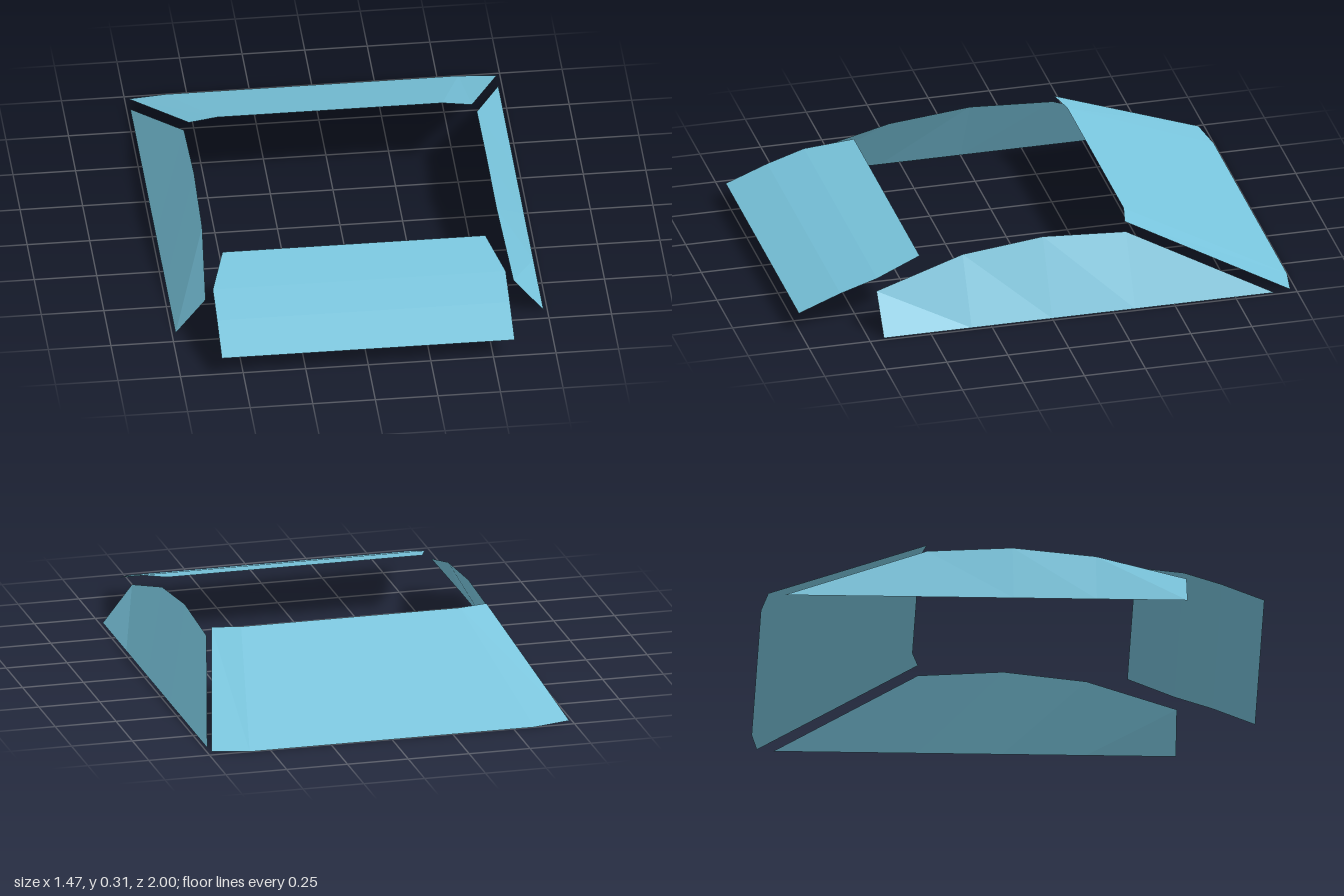
import * as THREE from 'three';

const glass = new THREE.MeshStandardMaterial({ color: 0x78c4dc, side: THREE.DoubleSide, flatShading: true });
glass.name = 'blueGlass';

// Sheet joining two matching rows of points
function sheet(name, a, b) {
  const pos = [];
  const same = (p, q) => p.every((v, i) => v === q[i]);
  const tri = (p, q, r) => {
    if (!same(p, q) && !same(q, r) && !same(p, r)) pos.push(...p, ...q, ...r);
  };
  for (let i = 0; i < a.length - 1; i++) {
    tri(a[i], b[i], b[i + 1]);
    tri(a[i], b[i + 1], a[i + 1]);
  }
  const geo = new THREE.BufferGeometry();
  geo.setAttribute('position', new THREE.Float32BufferAttribute(pos, 3));
  geo.computeVertexNormals();
  const mesh = new THREE.Mesh(geo, glass);
  mesh.name = name;
  return mesh;
}

const mirror = (row) => row.map(([x, y, z]) => [-x, y, z]);

export function createModel() {
  const group = new THREE.Group();
  group.name = 'carWindows';

  // Windscreen: curved profile from lower edge to chamfered top edge
  const screen = [[0.585, 0.075, 1], [0.585, 0.142, 0.83], [0.585, 0.19, 0.68], [0.525, 0.238, 0.49]];
  group.add(sheet('windscreen', mirror(screen), screen));

  // Rear window: sloping sheet whose outer strips wrap slightly forward
  const low = [[0.585, 0, -1], [0.735, 0.006, -0.975]];
  const high = [[0.45, 0.305, -0.365], [0.565, 0.305, -0.34]];
  const across = (row) => [...mirror(row).reverse(), ...row];
  group.add(sheet('rearWindow', across(low), across(high)));

  // Side windows: arched top edge, straight sill, pointed rear end
  const top = [[0.615, 0.15, 0.69], [0.588, 0.255, 0.33], [0.583, 0.29, 0], [0.585, 0.27, -0.34], [0.735, 0, -0.91]];
  const sill = top.map(([, , z]) => [0.735, 0, z]);
  group.add(sheet('leftSideWindow', top, sill));
  group.add(sheet('rightSideWindow', mirror(sill), mirror(top)));

  return group;
}
